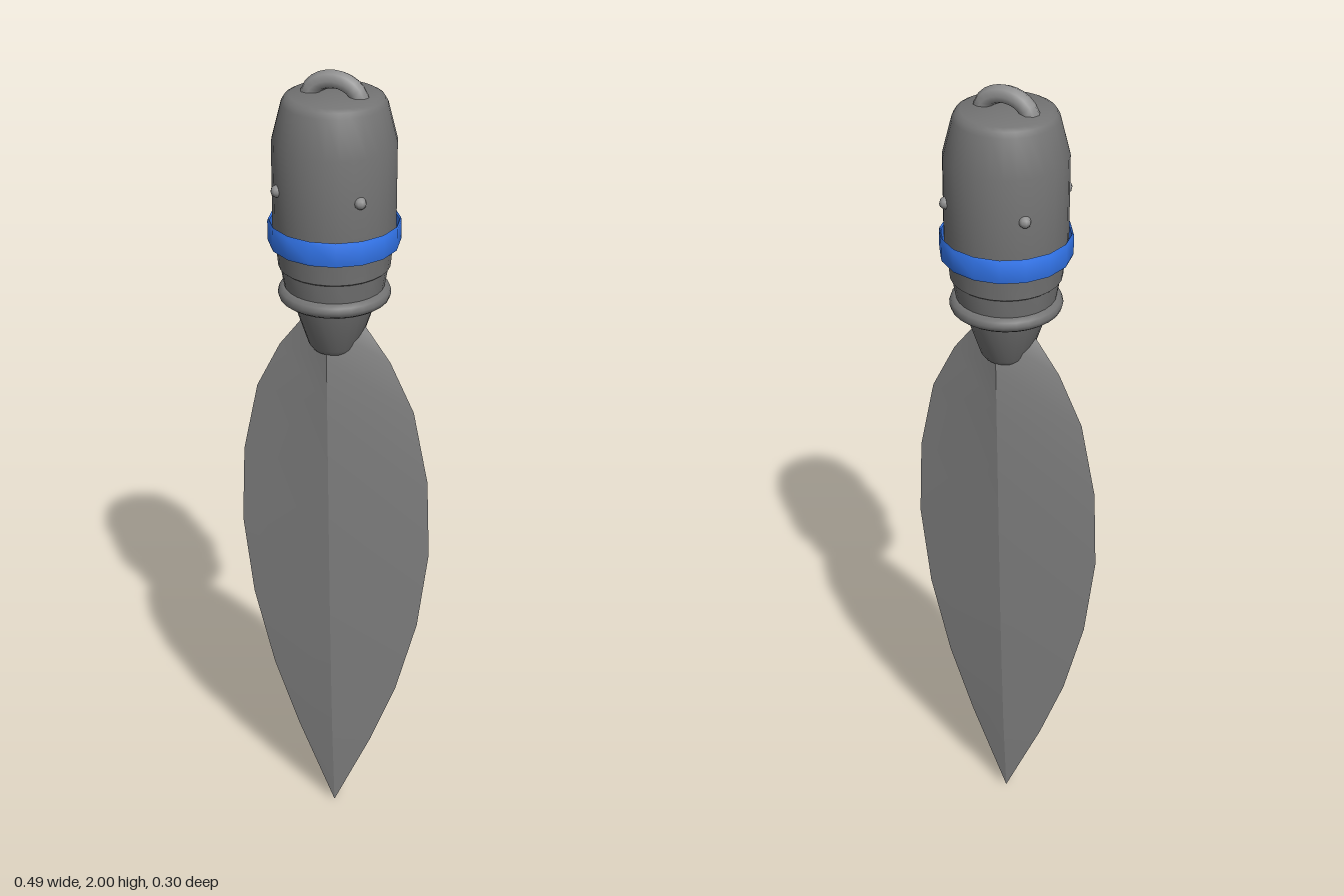
import * as THREE from 'three';
import { toCreasedNormals } from 'three/addons/utils/BufferGeometryUtils.js';

const darkGrey = new THREE.MeshStandardMaterial({ color: 0x747474 });
const bladeGrey = new THREE.MeshStandardMaterial({ color: 0x838383 });
const lightGrey = new THREE.MeshStandardMaterial({ color: 0x909090 });
const blue = new THREE.MeshStandardMaterial({ color: 0x3478f0, side: THREE.DoubleSide });

function addMesh(parent, name, geometry, material) {
  const mesh = new THREE.Mesh(geometry, material);
  mesh.name = name;
  parent.add(mesh);
  return mesh;
}

// Lathe from [radius, height] pairs listed bottom to top
function turned(profile, sides) {
  const points = profile.map(([r, y]) => new THREE.Vector2(r, y));
  return toCreasedNormals(new THREE.LatheGeometry(points, sides), 0.6);
}

// Leaf-shaped blade: each cross-section is a diamond [y, half width, half thickness].
// The four faces share no vertices, so ridge and edges stay sharp from tip to top.
function bladeGeometry() {
  const sections = [
    [0, 0, 0], [0.23, 0.1, 0.016], [0.405, 0.165, 0.024],
    [0.61, 0.218, 0.032], [0.82, 0.244, 0.038], [1.02, 0.236, 0.043],
    [1.2, 0.198, 0.048], [1.32, 0.138, 0.051], [1.41, 0.07, 0.053],
  ];
  const positions = [];
  const indices = [];
  const corners = ([y, w, t]) => [[w, y, 0], [0, y, t], [-w, y, 0], [0, y, -t]];
  for (let k = 0; k < 4; k++) {
    const first = positions.length / 3;
    for (const section of sections) {
      const c = corners(section);
      positions.push(...c[k], ...c[(k + 1) % 4]);
    }
    for (let i = 0; i < sections.length - 1; i++) {
      const a = first + i * 2;
      indices.push(a, a + 2, a + 3);
      if (i > 0) indices.push(a, a + 3, a + 1);
    }
  }
  // Flat top, hidden in the socket
  const top = positions.length / 3;
  positions.push(...corners(sections[sections.length - 1]).flat());
  indices.push(top, top + 2, top + 1, top, top + 3, top + 2);

  const geometry = new THREE.BufferGeometry();
  geometry.setAttribute('position', new THREE.Float32BufferAttribute(positions, 3));
  geometry.setIndex(indices);
  geometry.computeVertexNormals();
  return geometry;
}

export function createModel() {
  const model = new THREE.Group();
  model.name = 'bladedPendant';

  addMesh(model, 'blade', bladeGeometry(), bladeGrey);

  // Tapered socket gripping the blade
  addMesh(model, 'socket', turned([
    [0, 1.338], [0.05, 1.338], [0.06, 1.351], [0.096, 1.46], [0, 1.46],
  ], 24), darkGrey);

  // Stepped neck and barrel with a softly rounded top
  addMesh(model, 'barrel', turned([
    [0, 1.455], [0.1, 1.455], [0.106, 1.496], [0.115, 1.498], [0.123, 1.544],
    [0.128, 1.548], [0.133, 1.6], [0.14, 1.645], [0.14, 1.842],
    [0.118, 1.928], [0.111, 1.94], [0.1, 1.946], [0, 1.948],
  ], 28), darkGrey);

  // Rounded collar between socket and neck
  const collar = addMesh(model, 'collar', new THREE.TorusGeometry(0.112, 0.018, 10, 28), darkGrey);
  collar.rotation.x = Math.PI / 2;
  collar.position.y = 1.48;

  // Thin loose band around the barrel
  addMesh(model, 'band', turned([
    [0.146, 1.605], [0.149, 1.601], [0.151, 1.607], [0.151, 1.652],
    [0.149, 1.658], [0.146, 1.654], [0.146, 1.605],
  ], 16), blue);

  // Four rivets on the diagonals
  for (let i = 0; i < 4; i++) {
    const angle = Math.PI / 4 + i * Math.PI / 2;
    const rivet = addMesh(model, 'rivet', new THREE.SphereGeometry(0.014, 8, 6), lightGrey);
    rivet.position.set(0.139 * Math.cos(angle), 1.743, 0.139 * Math.sin(angle));
  }

  // Hanging loop on top
  const arc = [];
  for (let i = 0; i <= 8; i++) {
    const a = Math.PI * i / 8;
    arc.push(new THREE.Vector3(0.062 * Math.cos(a), 1.928 + 0.051 * Math.sin(a), 0));
  }
  addMesh(model, 'hangingLoop',
    new THREE.TubeGeometry(new THREE.CatmullRomCurve3(arc), 12, 0.021, 8), lightGrey);

  return model;
}
